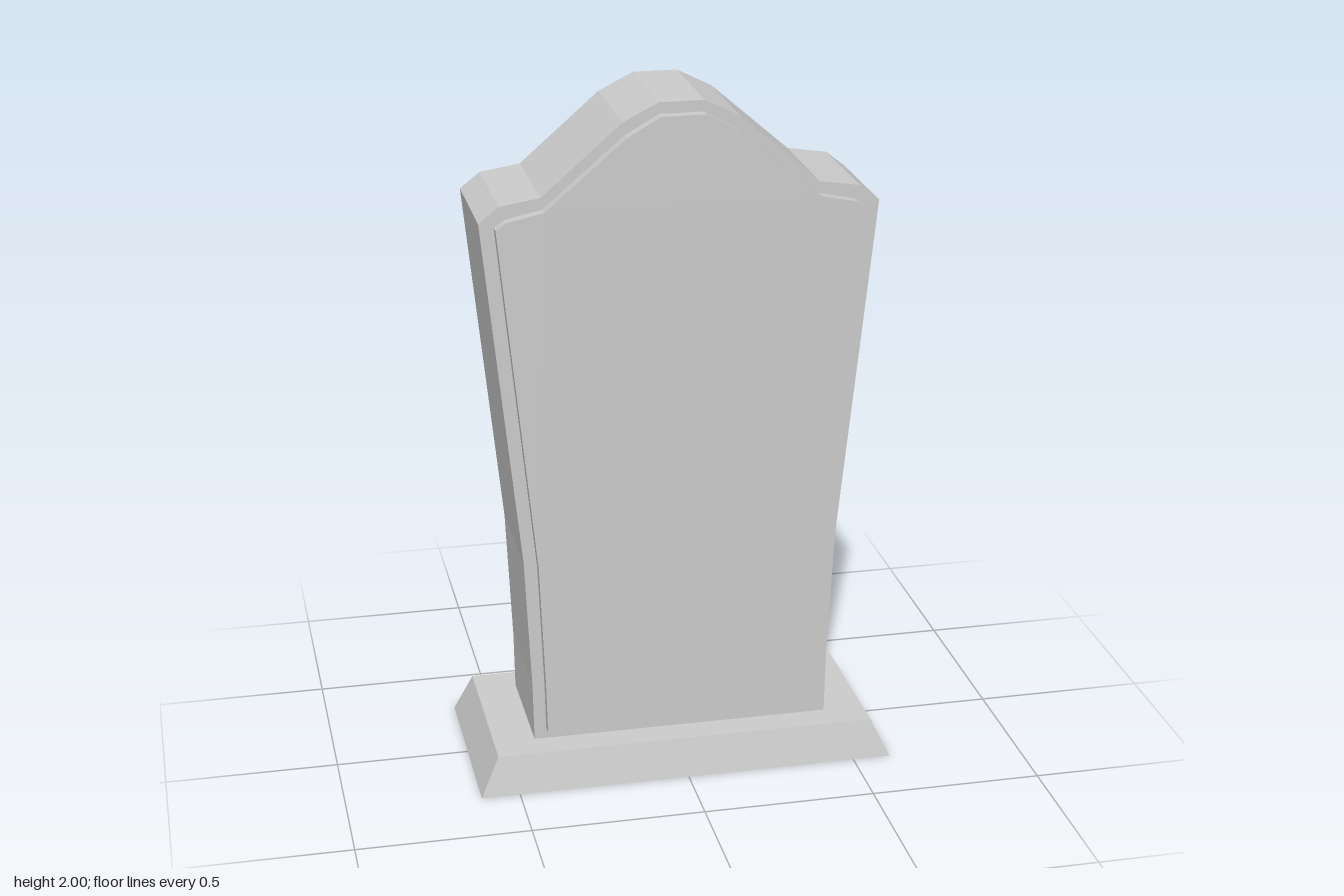
import * as THREE from 'three';

const material = new THREE.MeshStandardMaterial({ color: 0xcccccc, flatShading: true, side: THREE.DoubleSide });

// Right half of each outline, from the foot up to the crown
const BODY = [[0.437, 0.115], [0.44, 0.29], [0.458, 0.68], [0.562, 1.69], [0.505, 1.735], [0.39, 1.753], [0.163, 1.95], [0.063, 2]];
const PANEL = [[0.402, 0.147], [0.405, 0.29], [0.42, 0.67], [0.52, 1.678], [0.49, 1.698], [0.387, 1.72], [0.157, 1.915], [0.063, 1.968]];
const BODY_Z = 0.177;
const PANEL_Z = 0.21;

// Mirrors a half outline into a full loop at depth z
function outline(half, z) {
  const left = half.map(([x, y]) => [-x, y]).reverse();
  return [...half, ...left].map(([x, y]) => [x, y, z]);
}

// Horizontal rectangle loop at height y
function rectangle(x, y, z) {
  return [[-x, y, z], [x, y, z], [x, y, -z], [-x, y, -z]];
}

// Skins consecutive loops with quads; an open skin leaves out the last edge
function skin(loops, closed = true) {
  const positions = [];
  for (let k = 0; k + 1 < loops.length; k++) {
    const a = loops[k], b = loops[k + 1], n = a.length;
    for (let i = 0; i < (closed ? n : n - 1); i++) {
      const j = (i + 1) % n;
      positions.push(...a[i], ...a[j], ...b[j], ...a[i], ...b[j], ...b[i]);
    }
  }
  const geometry = new THREE.BufferGeometry();
  geometry.setAttribute('position', new THREE.Float32BufferAttribute(positions, 3));
  geometry.computeVertexNormals();
  return geometry;
}

function part(name, geometry) {
  const mesh = new THREE.Mesh(geometry, material);
  mesh.name = name;
  return mesh;
}

// One face of the stone: flat border, raised panel edge and panel
function createFace(name) {
  const face = new THREE.Group();
  face.name = name;
  face.add(part('border', skin([outline(BODY, BODY_Z), outline(PANEL, BODY_Z)])));
  face.add(part('panelEdge', skin([outline(PANEL, BODY_Z), outline(PANEL, PANEL_Z)])));
  const shape = new THREE.Shape(outline(PANEL, 0).map(([x, y]) => new THREE.Vector2(x, y)));
  const panel = part('panel', new THREE.ShapeGeometry(shape));
  panel.position.z = PANEL_Z;
  face.add(panel);
  return face;
}

export function createModel() {
  const model = new THREE.Group();
  model.name = 'headstone';

  // Sloped plinth, hollow and open underneath
  model.add(part('plinth', skin([
    rectangle(0.612, 0, 0.29),
    rectangle(0.557, 0.115, 0.264),
    rectangle(BODY[0][0], 0.115, BODY_Z),
  ])));

  // Side and top wall of the stone, open at the foot
  model.add(part('stoneWall', skin([outline(BODY, -BODY_Z), outline(BODY, BODY_Z)], false)));

  // Matching faces on front and back
  const back = createFace('backFace');
  back.rotation.y = Math.PI;
  model.add(createFace('frontFace'), back);
  return model;
}
